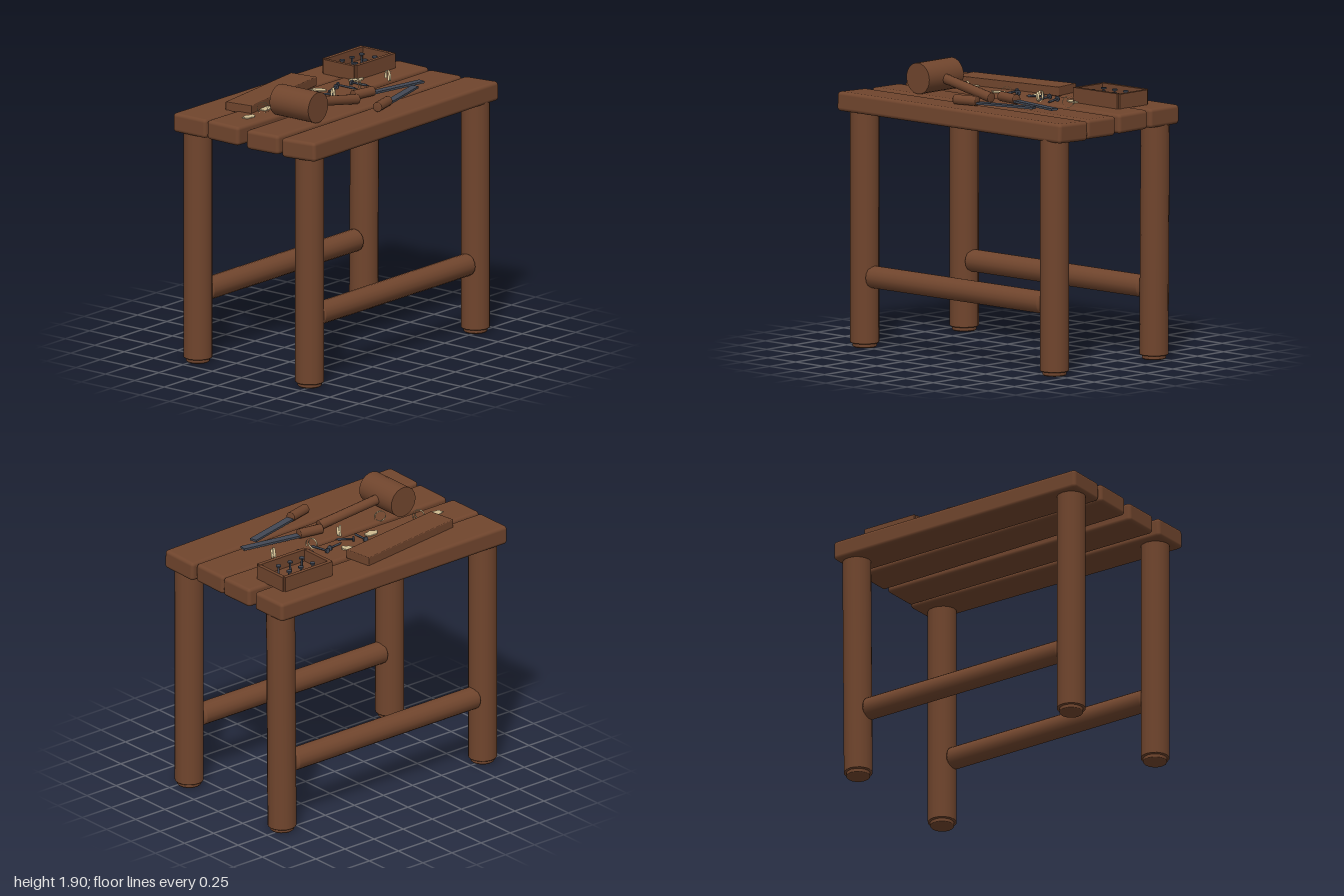
import * as THREE from 'three';
import { RoundedBoxGeometry } from 'three/addons/geometries/RoundedBoxGeometry.js';
import { ParametricGeometry } from 'three/addons/geometries/ParametricGeometry.js';

const wood = new THREE.MeshStandardMaterial({ name: 'brown wood', color: 0x70452d });
const steel = new THREE.MeshStandardMaterial({ name: 'dark steel', color: 0x424854 });
const shaving = new THREE.MeshStandardMaterial({ name: 'pale shaving', color: 0xcfbc92, side: THREE.DoubleSide });

const V = (x, y, z) => new THREE.Vector3(x, y, z);
const UP = V(0, 1, 0);

function add(parent, name, geometry, material, x = 0, y = 0, z = 0) {
  const mesh = new THREE.Mesh(geometry, material);
  mesh.name = name;
  mesh.position.set(x, y, z);
  parent.add(mesh);
  return mesh;
}

// Round bar from a to b with chamfered ends
function bar(parent, name, a, b, radius, material, chamfer = 0.02, sides = 16) {
  const length = a.distanceTo(b);
  const c = chamfer;
  const profile = [
    [0, 0], [radius - c, 0], [radius, c], [radius, c * 1.3],
    [radius, length - c * 1.3], [radius, length - c], [radius - c, length], [0, length],
  ].map(([r, y]) => new THREE.Vector2(r, y));
  const mesh = add(parent, name, new THREE.LatheGeometry(profile, sides), material, a.x, a.y, a.z);
  mesh.quaternion.setFromUnitVectors(UP, b.clone().sub(a).normalize());
  return mesh;
}

function buildBench(bench) {
  // Four uneven top planks: x, y, z, length, depth, turn, roll
  [
    [-0.005, 1.63, -0.47, 1.95, 0.28, 0.004, 0],
    [-0.002, 1.632, -0.168, 1.97, 0.272, -0.009, 0.01],
    [-0.005, 1.625, 0.142, 1.95, 0.272, 0.012, -0.02],
    [0, 1.63, 0.445, 1.985, 0.28, 0.025, -0.04],
  ].forEach(([x, y, z, length, depth, turn, roll], i) => {
    const plank = add(bench, 'topPlank' + (i + 1),
      new RoundedBoxGeometry(length, 0.13, depth, 2, 0.024), wood, x, y, z);
    plank.rotation.set(roll, turn, -0.004);
  });

  // Legs with small feet
  for (const [side, x, lean] of [['Right', -0.865, 0], ['Left', 0.858, 0.012]]) {
    for (const [end, z] of [['front', 0.468], ['back', -0.483]]) {
      const topX = x + (end === 'back' ? lean : 0);
      bar(bench, end + side + 'Leg', V(x, 0.028, z), V(topX, 1.6, z), 0.096, wood, 0.004);
      bar(bench, end + side + 'Foot', V(x, 0, z), V(x, 0.034, z), 0.08, wood, 0.006);
    }
  }

  // Long stretchers
  for (const [end, z] of [['front', 0.468], ['back', -0.483]]) {
    bar(bench, end + 'Stretcher', V(-0.81, 0.473, z), V(0.79, 0.473, z), 0.075, wood, 0.024);
  }
}

function buildMallet(parent) {
  const mallet = new THREE.Group();
  mallet.name = 'mallet';
  const head = add(mallet, 'malletHead', new THREE.CylinderGeometry(0.104, 0.104, 0.328, 24),
    wood, -0.555, 1.8, 0.122);
  head.rotation.x = Math.PI / 2;
  bar(mallet, 'malletHandle', V(-0.555, 1.805, 0.11), V(0, 1.718, 0.165), 0.033, wood, 0.004, 12);
  parent.add(mallet);
}

// Chisel lying on the top, handle at the local origin and blade along +x
function buildChisel(parent, x, y, z, turn) {
  const chisel = new THREE.Group();
  chisel.name = 'chisel';
  bar(chisel, 'chiselHandle', V(0, 0, 0), V(0.178, 0, 0), 0.033, wood, 0.005, 12);
  add(chisel, 'chiselBlade', new THREE.BoxGeometry(0.43, 0.014, 0.052), steel, 0.385, -0.012, 0);
  chisel.position.set(x, y, z);
  chisel.rotation.y = turn;
  parent.add(chisel);
}

// Nail with its head at a and its tip at b
function buildNail(parent, a, b) {
  const nail = new THREE.Group();
  nail.name = 'nail';
  const length = a.distanceTo(b);
  add(nail, 'nailHead', new THREE.CylinderGeometry(0.018, 0.018, 0.01, 10), steel, 0, 0.005, 0);
  add(nail, 'nailShank', new THREE.CylinderGeometry(0.008, 0.006, length * 0.85, 8), steel, 0, length * 0.425, 0);
  add(nail, 'nailTip', new THREE.ConeGeometry(0.006, length * 0.15, 8), steel, 0, length * 0.925, 0);
  nail.position.copy(a);
  nail.quaternion.setFromUnitVectors(UP, b.clone().sub(a).normalize());
  parent.add(nail);
}

function buildNailBox(parent) {
  const box = new THREE.Group();
  box.name = 'nailBox';
  add(box, 'boxFloor', new THREE.BoxGeometry(0.4, 0.02, 0.27), wood, 0, 0.01, 0);
  for (const s of [-1, 1]) {
    add(box, 'boxLongWall', new THREE.BoxGeometry(0.4, 0.103, 0.028), wood, 0, 0.0515, s * 0.133);
    add(box, 'boxEndWall', new THREE.BoxGeometry(0.026, 0.1, 0.262), wood, s * 0.199, 0.05, 0);
  }
  // Upright nails in two rows
  for (const x of [-0.11, -0.01, 0.09]) {
    for (const z of [-0.052, 0.058]) buildNail(box, V(x, 0.09, z), V(x, 0.012, z));
  }
  box.position.set(0.615, 1.692, -0.323);
  parent.add(box);
}

function buildShavings(parent) {
  // Flat ragged chips: x, z, turn
  [[-0.74, -0.15, 0], [-0.52, -0.19, 0.4], [-0.21, -0.125, 0.1], [0.06, -0.215, 2], [0.41, -0.18, -0.3]]
    .forEach(([x, z, turn], k) => {
      const points = [];
      for (let i = 0; i < 14; i++) {
        const a = (i / 14) * Math.PI * 2;
        const r = 1 + 0.14 * Math.sin(i * 2.4 + k * 1.7);
        points.push(new THREE.Vector2(0.053 * r * Math.cos(a), 0.031 * r * Math.sin(a)));
      }
      const geometry = new THREE.ExtrudeGeometry(new THREE.Shape(points), { depth: 0.008, bevelEnabled: false });
      geometry.rotateX(-Math.PI / 2);
      add(parent, 'woodChip', geometry, shaving, x, 1.697, z).rotation.y = turn;
    });

  // Curled ribbons standing on edge: x, z, turn
  const curl = (u, v, target) => {
    const a = u * Math.PI * 2.7 - 0.6;
    const r = 0.043 - 0.013 * u;
    target.set(r * Math.cos(a), r * Math.sin(a), (v - 0.5) * 0.015 + (u - 0.5) * 0.022);
  };
  [[-0.6, -0.15, -1.05], [-0.39, 0, -0.45], [-0.03, -0.01, 0.8], [0.235, -0.05, -1.25], [0.535, -0.005, 0.95]]
    .forEach(([x, z, turn]) => {
      add(parent, 'woodCurl', new ParametricGeometry(curl, 32, 1), shaving, x, 1.73, z).rotation.y = turn;
    });
}

export function createModel() {
  const model = new THREE.Group();
  model.name = 'workbench';
  buildBench(model);
  buildMallet(model);
  buildChisel(model, 0.025, 1.726, 0.103, -0.18);
  buildChisel(model, -0.1, 1.728, 0.415, 0.255);
  buildNailBox(model);
  buildShavings(model);

  // Loose board
  const board = add(model, 'looseBoard', new RoundedBoxGeometry(0.835, 0.062, 0.2, 1, 0.006), wood, -0.268, 1.722, -0.348);
  board.rotation.y = 0.14;

  // Scattered nails, head then tip
  for (const [hx, hz, tx, tz] of [
    [-0.105, -0.195, -0.115, -0.06], [-0.05, -0.14, 0.04, -0.05], [0.17, -0.15, 0.04, -0.12],
    [0.205, -0.175, 0.23, -0.02], [0.31, -0.14, 0.34, -0.01],
  ]) buildNail(model, V(hx, 1.712, hz), V(tx, 1.704, tz));
  return model;
}
